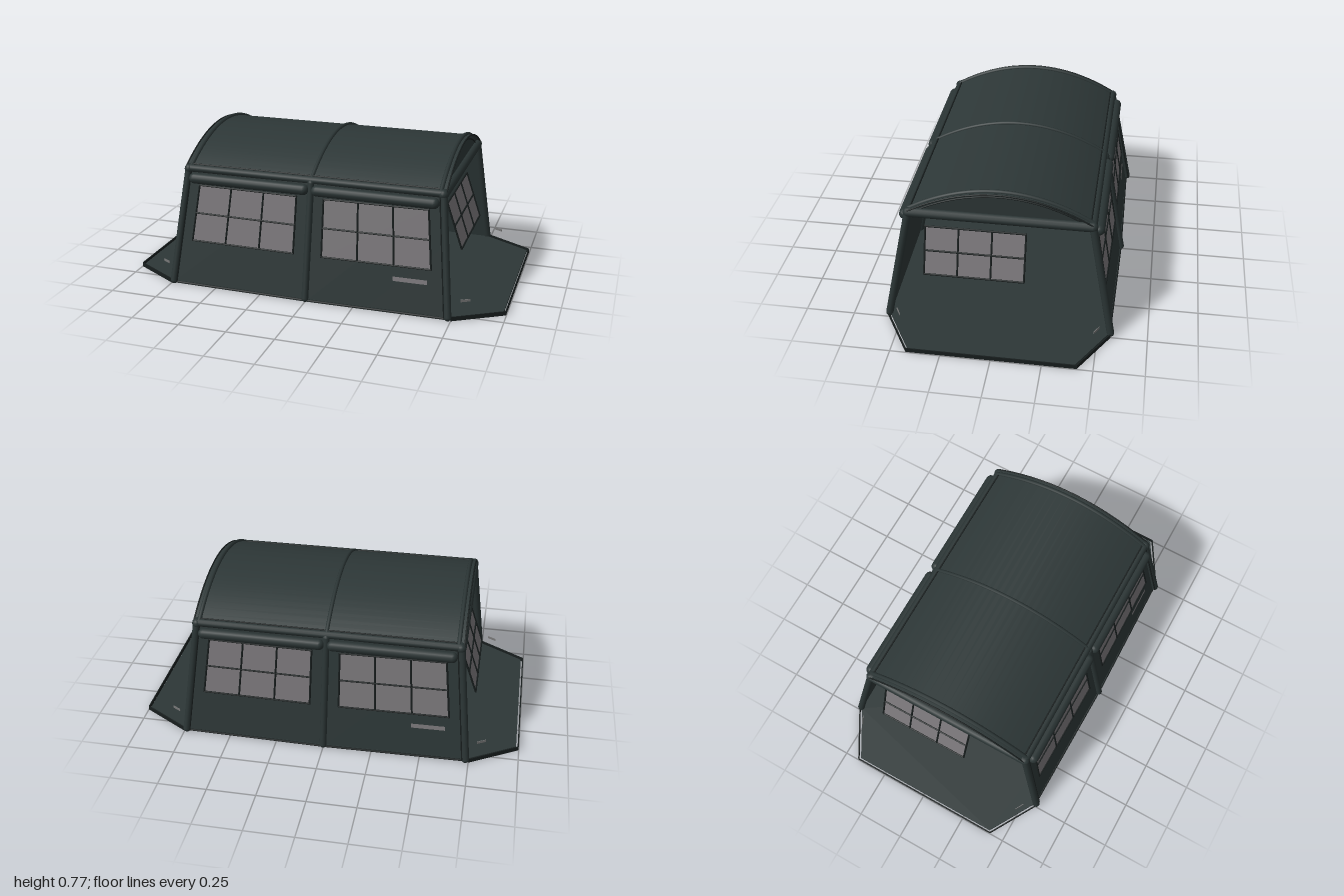
import * as THREE from 'three';

const mat = (name, color, side = THREE.FrontSide) => {
  const m = new THREE.MeshStandardMaterial({ color, side });
  m.name = name;
  return m;
};
const V = (x, y, z) => new THREE.Vector3(x, y, z);

export function createModel() {
  const canvas = mat('darkCanvas', 0x2d3737, THREE.DoubleSide);
  const pole = mat('poleSleeve', 0x2a3434);
  const trim = mat('darkTrim', 0x181e1e);
  const mesh = mat('greyWindowMesh', 0x7a777a, THREE.DoubleSide);
  const tagMat = mat('greyTag', 0x777777);

  const model = new THREE.Group();
  model.name = 'tent';

  const add = (parent, name, geo, material) => {
    const m = new THREE.Mesh(geo, material);
    m.name = name;
    parent.add(m);
    return m;
  };
  // Round-ended tube between two points
  const tube = (parent, name, a, b, r, material, sides = 12) => {
    const m = add(parent, name, new THREE.CapsuleGeometry(r, a.distanceTo(b), 4, sides), material);
    m.position.copy(a).add(b).multiplyScalar(0.5);
    m.quaternion.setFromUnitVectors(V(0, 1, 0), b.clone().sub(a).normalize());
    return m;
  };
  // Thin square-sided seam between two points
  const seam = (parent, name, a, b, r = 0.005) => tube(parent, name, a, b, r, trim, 6);
  // Surface from a rule fn(u, v), u and v in 0..1
  const patch = (parent, name, fn, nu, nv, material) => {
    const g = new THREE.PlaneGeometry(1, 1, nu, nv);
    const p = g.attributes.position;
    for (let i = 0; i < p.count; i++) {
      const q = fn(p.getX(i) + 0.5, p.getY(i) + 0.5);
      p.setXYZ(i, q.x, q.y, q.z);
    }
    g.computeVertexNormals();
    return add(parent, name, g, material);
  };
  // Mesh window with a 3 x 2 grid of bars; at(u, v, offset) gives its surface
  const windowOn = (parent, name, at) => {
    const g = new THREE.Group();
    g.name = name;
    parent.add(g);
    patch(g, 'windowMesh', (u, v) => at(u, v, 0.004), 1, 1, mesh);
    for (let i = 0; i <= 3; i++) seam(g, 'windowBar', at(i / 3, 0, 0.006), at(i / 3, 1, 0.006));
    for (let j = 0; j <= 2; j++) seam(g, 'windowBar', at(0, j / 2, 0.006), at(1, j / 2, 0.006));
  };

  // Sloping side wall: u runs -1..1 between the corner poles
  const wall = (u, y, off = 0) =>
    V(u * (0.745 - 0.12 * y), y, 0.56 + 0.012 * (1 - Math.abs(u)) - 0.18 * y + off);
  const lerp = THREE.MathUtils.lerp;
  // Arched roof height across z
  const EAVE = 0.455;
  const arch = (z, peak = 0.755, half = EAVE) => 0.62 + (peak - 0.62) * (1 - (z / half) ** 2);
  const archTube = (parent, name, x, peak, half, r, material) => {
    const pts = [];
    for (let i = 0; i <= 12; i++) {
      const z = lerp(-half, half, i / 12);
      pts.push(V(x, arch(z, peak, half), z));
    }
    add(parent, name, new THREE.TubeGeometry(new THREE.CatmullRomCurve3(pts), 32, r, 8), material);
  };

  // Floor sheet
  const outline = [[0.985, 0.412], [0.74, 0.557], [0, 0.572], [-0.74, 0.557], [-0.985, 0.412],
    [-0.985, -0.412], [-0.74, -0.557], [0, -0.572], [0.74, -0.557], [0.985, -0.412]];
  const floorShape = new THREE.Shape(outline.map(([x, z]) => new THREE.Vector2(x, z)));
  const floor = add(model, 'floor',
    new THREE.ExtrudeGeometry(floorShape, { depth: 0.014, bevelEnabled: false }), canvas);
  floor.rotation.x = Math.PI / 2;
  floor.position.y = 0.016;

  // Roof canopy and its middle hoop
  patch(model, 'roof', (u, v) => {
    const z = lerp(EAVE, -EAVE, v);
    return V(lerp(-0.685, 0.685, u), arch(z), z);
  }, 1, 24, canvas);
  archTube(model, 'middleHoop', 0, 0.757, EAVE, 0.01, pole);

  // The two halves repeat by a half turn
  for (const turn of [0, Math.PI]) {
    const half = new THREE.Group();
    half.name = turn ? 'backHalf' : 'frontHalf';
    half.rotation.y = turn;
    model.add(half);

    // Side wall with windows and rolled covers
    for (const s of [-1, 1]) {
      patch(half, 'sideWall', (u, v) => wall(s > 0 ? u : u - 1, v * 0.61), 1, 1, canvas);
      windowOn(half, 'sideWindow', (u, v, off) =>
        wall(s > 0 ? lerp(0.105, 0.888, u) : lerp(-0.888, -0.105, u), lerp(0.24, 0.53, v), off));
      tube(half, 'rolledCover', V(s * 0.035, 0.568, 0.478), V(s * 0.63, 0.568, 0.478), 0.028, pole, 16);
      seam(half, 'wallHem', wall(0, 0.008, 0.002), wall(s, 0.008, 0.002), 0.006);
      tube(half, 'cornerPole', V(s * 0.735, 0.018, 0.565), V(s * 0.672, 0.605, 0.452), 0.019, pole);
      seam(half, 'poleSeam', V(s * 0.718, 0.018, 0.574), V(s * 0.656, 0.6, 0.464), 0.004);
    }
    tube(half, 'middlePole', V(0, 0.018, 0.572), V(0, 0.6, 0.462), 0.018, pole);
    tube(half, 'eaveBeam', V(-0.668, 0.612, 0.45), V(0.668, 0.612, 0.45), 0.02, pole);
    seam(half, 'eaveSeam', V(-0.66, 0.632, 0.44), V(0.66, 0.632, 0.44), 0.004);

    // Plain tag on the wall
    const tag = patch(half, 'wallTag',
      (u, v) => wall(lerp(0.62, 0.858, u), lerp(0.163, 0.185, v), 0.005), 1, 1, tagMat);
    tag.material = mesh;

    // Gable end
    tube(half, 'endBeam', V(0.67, 0.608, -0.45), V(0.67, 0.608, 0.45), 0.025, pole);
    archTube(half, 'endHoop', 0.657, 0.757, EAVE, 0.011, pole);
    archTube(half, 'gableSeam', 0.667, 0.732, 0.41, 0.004, trim);
    archTube(half, 'roofHem', 0.685, 0.755, EAVE, 0.004, trim);
    patch(half, 'gable', (u, v) => {
      const z = lerp(EAVE, -EAVE, u);
      return V(0.665, lerp(0.605, arch(z), v), z);
    }, 24, 1, canvas);

    // Window hanging in the open end
    windowOn(half, 'endWindow', (u, v, off) => {
      const y = lerp(0.302, 0.535, v);
      return V(0.667 + (0.54 - y) * 0.34 + off, y, lerp(0.367, -0.13, u));
    });

    // Raised rim around the porch floor
    const rim = [V(0.75, 0.012, 0.566), V(0.996, 0.012, 0.42), V(0.996, 0.012, -0.42), V(0.75, 0.012, -0.566)];
    for (let i = 0; i < 3; i++) {
      const a = rim[i], b = rim[i + 1];
      const r = add(half, 'floorRim', new THREE.BoxGeometry(a.distanceTo(b), 0.022, 0.005), trim);
      r.position.copy(a).add(b).multiplyScalar(0.5);
      r.rotation.y = Math.atan2(a.z - b.z, b.x - a.x);
    }

    // Small upright tags above the porch corners
    for (const s of [-1, 1]) {
      const t = add(half, 'porchTag', new THREE.BoxGeometry(0.05, 0.013, 0.003), tagMat);
      t.position.set(0.807, 0.089, s * 0.498);
      t.rotation.y = s * 0.52;
    }
  }
  return model;
}
